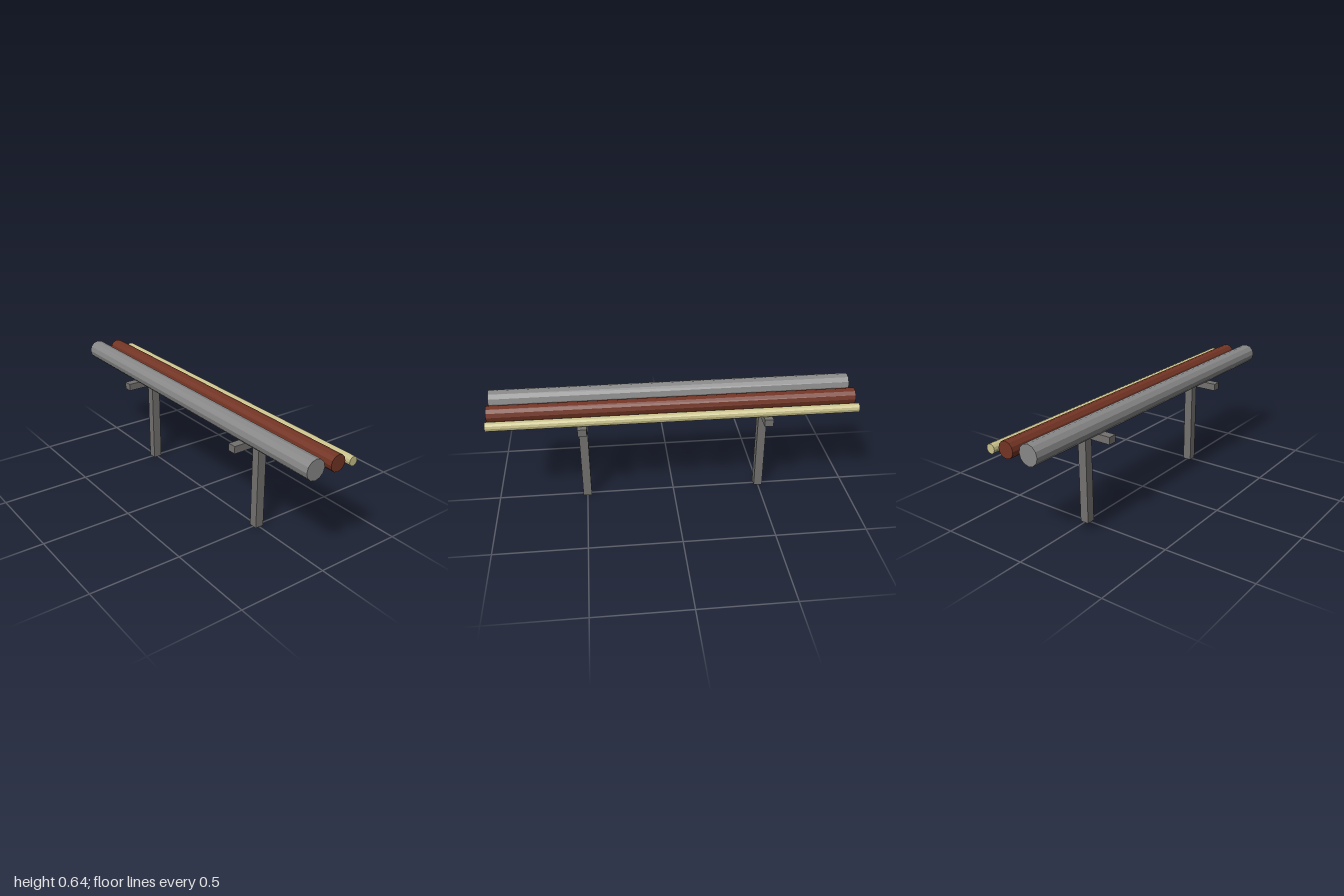
import * as THREE from 'three';

const material = (color) => new THREE.MeshStandardMaterial({ color, flatShading: true });

function addMesh(parent, name, geometry, mat, x, y, z) {
  const mesh = new THREE.Mesh(geometry, mat);
  mesh.name = name;
  mesh.position.set(x, y, z);
  parent.add(mesh);
  return mesh;
}

export function createModel() {
  const model = new THREE.Group();
  model.name = 'pipeRack';

  const steel = material(0x737270);
  const barTop = 0.53, barHeight = 0.04, width = 0.048;

  // Two T-shaped supports: post plus crossbar
  for (const side of [-1, 1]) {
    const support = new THREE.Group();
    support.name = side > 0 ? 'leftSupport' : 'rightSupport';
    support.position.x = side * 0.5;
    const postHeight = barTop - barHeight;
    addMesh(support, 'post', new THREE.BoxGeometry(width, postHeight, 0.05), steel, 0, postHeight / 2, 0);
    addMesh(support, 'crossbar', new THREE.BoxGeometry(width, barHeight, 0.36), steel, 0, barTop - barHeight / 2, 0);
    model.add(support);
  }

  // Twelve-sided pipes resting on the crossbars
  const pipes = [
    ['largePipe', 0.055, 0.1, 0x888888],
    ['mediumPipe', 0.045, -0.04, 0x733424],
    ['smallPipe', 0.025, -0.14, 0xcac28c],
  ];
  for (const [name, radius, z, color] of pipes) {
    const geometry = new THREE.CylinderGeometry(radius, radius, 2, 12).rotateZ(Math.PI / 2);
    addMesh(model, name, geometry, material(color), 0, barTop + radius + 0.001, z);
  }

  return model;
}
